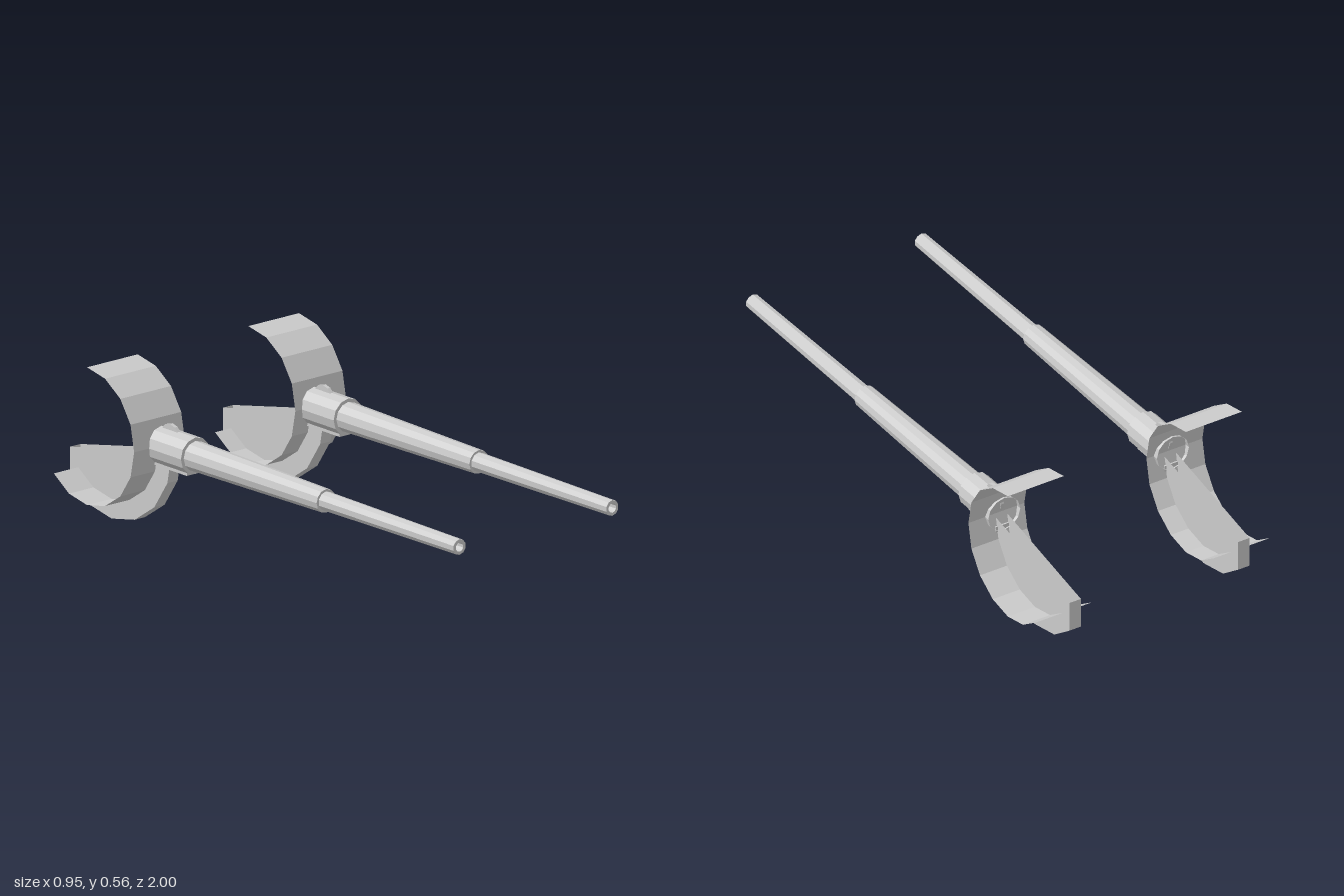
import * as THREE from 'three';

const AXIS_Y = 0.315, ARC_Z = -0.785, STEP = Math.PI / 8;
const material = new THREE.MeshStandardMaterial({ color: 0xcccccc, flatShading: true, side: THREE.DoubleSide });

function part(name, geometry) {
  const mesh = new THREE.Mesh(geometry, material);
  mesh.name = name;
  return mesh;
}

// Turned part along z from [radius, z] pairs
function turned(name, profile, sides) {
  const geometry = new THREE.LatheGeometry(profile.map(([r, z]) => new THREE.Vector2(r, z)), sides);
  geometry.rotateX(Math.PI / 2);
  const mesh = part(name, geometry);
  mesh.position.y = AXIS_Y;
  return mesh;
}

// Point [z, y] on the arc shared by the shield and the trough, in steps of 22.5 degrees
const arcPoint = (radius, i) => [ARC_Z + radius * Math.cos(i * STEP), AXIS_Y + radius * Math.sin(i * STEP)];

// Sheet of the given width in x that follows [z, y] points
function sheet(points, width) {
  const positions = [], index = [];
  points.forEach(([z, y], i) => {
    positions.push(-width / 2, y, z, width / 2, y, z);
    if (i > 0) {
      const a = 2 * i - 2;
      index.push(a, a + 1, a + 2, a + 1, a + 3, a + 2);
    }
  });
  const geometry = new THREE.BufferGeometry();
  geometry.setAttribute('position', new THREE.Float32BufferAttribute(positions, 3));
  geometry.setIndex(index);
  geometry.computeVertexNormals();
  return geometry;
}

// Open-topped trough behind the barrel: two cheeks joined by a curved rim
function createTrough() {
  const trough = new THREE.Group();
  trough.name = 'trough';
  const width = 0.046;
  const outline = [];
  for (let i = 0; i >= -6; i--) outline.push(arcPoint(0.315, i));
  outline[6][0] = -1;
  outline.push([-1, 0.205]);
  trough.add(part('troughRim', sheet(outline, width)));
  const shape = new THREE.Shape(outline.map(([z, y]) => new THREE.Vector2(-z, y)));
  for (const side of [-1, 1]) {
    const cheek = part('troughCheek', new THREE.ShapeGeometry(shape));
    cheek.rotation.y = Math.PI / 2;
    cheek.position.x = side * width / 2;
    trough.add(cheek);
  }
  return trough;
}

function createGun(side) {
  const gun = new THREE.Group();
  gun.name = side > 0 ? 'leftGun' : 'rightGun';
  gun.position.x = side * 0.342;

  // Hollow front barrel, tapered sleeve and wide collar
  gun.add(turned('barrel', [[0.034, 0.28], [0.028, 1], [0.017, 1], [0.017, 0.85], [0, 0.85]], 10));
  gun.add(turned('barrelSleeve', [[0.053, -0.4], [0.042, 0.305], [0.03, 0.305]], 12));
  gun.add(turned('collar', [[0.065, -0.56], [0.065, -0.375], [0.048, -0.375]], 12));

  // Thin sight on top of the collar and mounting block below
  const sight = part('sight', new THREE.CylinderGeometry(0.05, 0.05, 0.013, 12));
  sight.rotation.z = Math.PI / 2;
  sight.position.set(0, 0.35, -0.5);
  gun.add(sight);
  const block = part('mountBlock', new THREE.BoxGeometry(0.06, 0.022, 0.17));
  block.position.set(0, 0.258, -0.47);
  gun.add(block);

  // Curved shield, set slightly outward from the barrel
  const arc = [];
  for (let i = 4; i >= -6; i--) arc.push(arcPoint(0.245, i));
  const shield = part('shield', sheet(arc, 0.227));
  shield.position.x = side * 0.019;
  gun.add(shield);

  gun.add(createTrough());
  return gun;
}

export function createModel() {
  const model = new THREE.Group();
  model.name = 'twinGuns';
  for (const side of [-1, 1]) model.add(createGun(side));
  return model;
}
